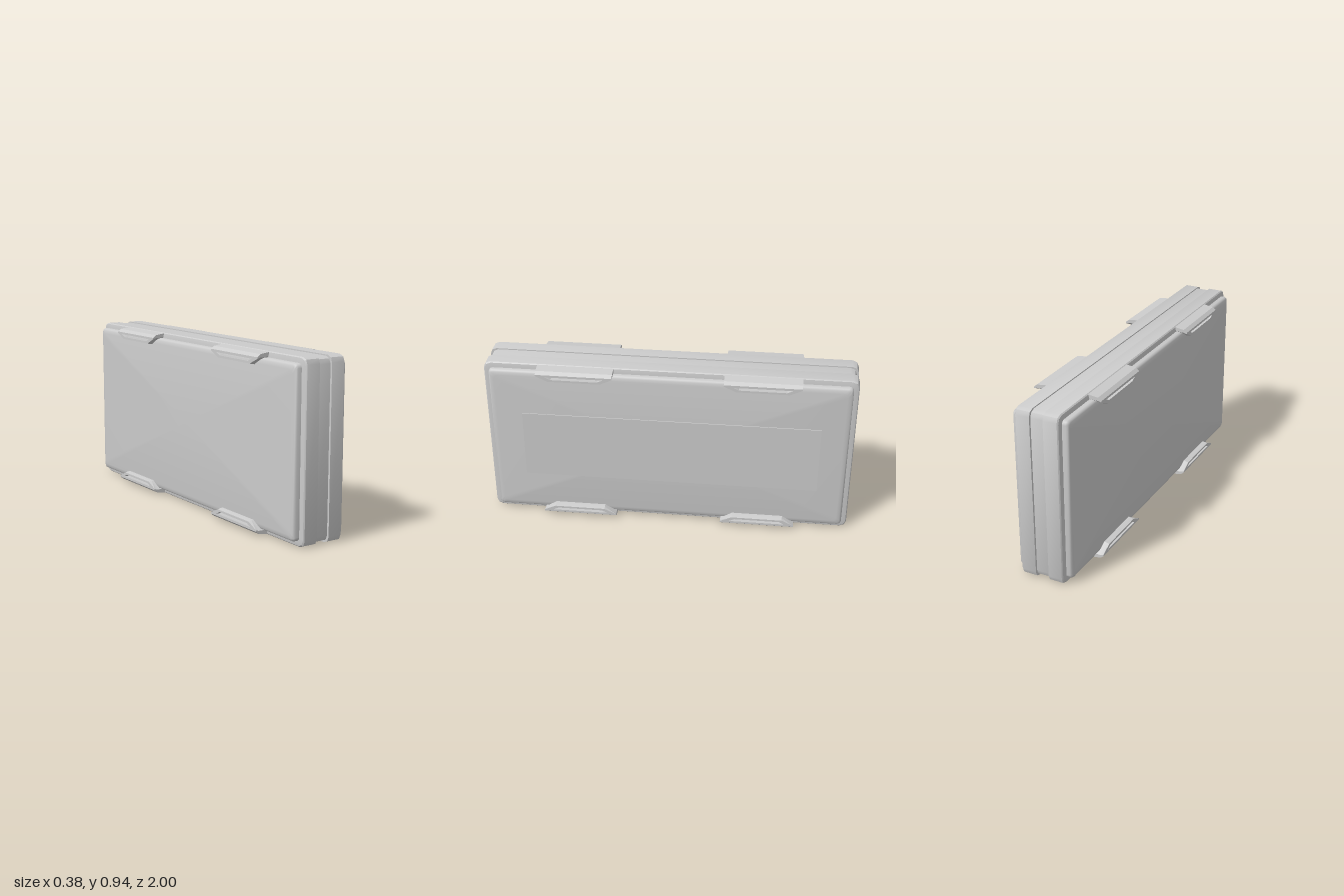
import * as THREE from 'three';
import { toCreasedNormals } from 'three/addons/utils/BufferGeometryUtils.js';

const H = 0.935, MID = H / 2;
const material = new THREE.MeshStandardMaterial({ color: 0xcccccc });

// Rounded rectangle in (z, y) about the origin, counter-clockwise seen from +x
function outline(halfZ, halfY, radius, segments) {
  const points = [];
  for (let corner = 0; corner < 4; corner++) {
    const sz = corner === 0 || corner === 3 ? -1 : 1;
    const sy = corner < 2 ? 1 : -1;
    for (let i = 0; i <= segments; i++) {
      const a = (corner + i / segments) * Math.PI / 2;
      points.push([sz * (halfZ - radius) - radius * Math.cos(a), sy * (halfY - radius) + radius * Math.sin(a)]);
    }
  }
  return points;
}

// Closed loft along x; each ring is [x, inset in y, inset in z]
function loft(rings, radius, segments, crease) {
  const position = [], index = [];
  const n = 4 * (segments + 1);
  rings.forEach(([x, insetY, insetZ = insetY]) => {
    for (const [z, y] of outline(1 - insetZ, MID - insetY, radius, segments)) position.push(x, y, z);
  });
  const last = (rings.length - 1) * n, centre = rings.length * n;
  position.push(rings[0][0], 0, 0, rings[rings.length - 1][0], 0, 0);
  for (let j = 0; j < n; j++) {
    const k = (j + 1) % n;
    for (let r = 0; r < last; r += n) {
      index.push(r + j, r + k, r + n + j, r + k, r + n + k, r + n + j);
    }
    index.push(centre, k, j, centre + 1, last + j, last + k);
  }
  const geometry = new THREE.BufferGeometry();
  geometry.setAttribute('position', new THREE.Float32BufferAttribute(position, 3));
  geometry.setIndex(index);
  return toCreasedNormals(geometry, crease);
}

// Slotted trapezoid latch, bent over at its outer edge
function latchGeometry() {
  const toPath = (Type, pts) => new Type(pts.map(([x, y]) => new THREE.Vector2(x, y)));
  const top = MID - 0.003, bottom = 0.865 - MID;
  const shape = toPath(THREE.Shape, [
    [-0.14, bottom], [0.14, bottom], [0.205, top - 0.022], [0.205, top], [-0.205, top], [-0.205, top - 0.022],
  ]);
  shape.holes.push(toPath(THREE.Path, [
    [-0.125, bottom + 0.014], [-0.155, bottom + 0.036], [0.155, bottom + 0.036], [0.125, bottom + 0.014],
  ]));
  const geometry = new THREE.ExtrudeGeometry(shape, { depth: 0.075, steps: 4, bevelEnabled: false });
  const p = geometry.attributes.position;
  for (let i = 0; i < p.count; i++) {
    const depth = p.getZ(i);
    const drop = depth > 0.07 ? 0.022 : depth * 0.13;
    const t = (p.getY(i) - bottom) / (top - bottom);
    const lift = 0.007 * Math.max(0, depth - 0.045) / 0.03;
    p.setY(i, p.getY(i) - drop * t * t + lift * (1 - t));
  }
  geometry.rotateY(Math.PI / 2).translate(0.115, 0, 0);
  return toCreasedNormals(geometry, 0.4);
}

export function createModel() {
  const model = new THREE.Group();
  model.name = 'case';
  const add = (name, geometry, parent = model) => {
    const mesh = new THREE.Mesh(geometry, material);
    mesh.name = name;
    mesh.position.y = parent === model ? MID : 0;
    parent.add(mesh);
    return mesh;
  };

  // Recessed centre band between two shell halves
  add('centreBand', loft([[-0.05, 0.006, 0.012], [0.05, 0.006, 0.012]], 0.035, 2, 0.6));
  const shell = loft([[0.037, 0], [0.113, 0], [0.119, 0.005], [0.123, 0.022]], 0.035, 2, 0.5);
  add('rightShell', shell);
  add('leftShell', shell).rotation.y = Math.PI;

  // Raised covers with softly rounded rims
  const cover = (depth) => loft([
    [0.11, 0.03], [depth - 0.017, 0.03], [depth - 0.008, 0.034], [depth - 0.003, 0.042], [depth, 0.06],
  ], 0.022, 4, 0.8);
  add('rightCover', cover(0.154));
  add('leftCover', cover(0.16)).rotation.y = Math.PI;

  // Thin raised plate on one cover
  const plate = add('sidePlate', new THREE.BoxGeometry(0.012, 0.39, 1.62));
  plate.position.set(0.153, 0.453, -0.01);

  // Two latches on each long edge of both sides
  const latch = latchGeometry();
  for (const side of [0, Math.PI]) {
    for (const flip of [0, Math.PI]) {
      const pair = new THREE.Group();
      pair.name = (side ? 'left' : 'right') + (flip ? 'Bottom' : 'Top') + 'Latches';
      pair.position.y = MID;
      pair.rotation.set(flip, side, 0);
      for (const z of [-0.5, 0.5]) add('latch', latch, pair).position.z = z;
      model.add(pair);
    }
  }
  return model;
}
